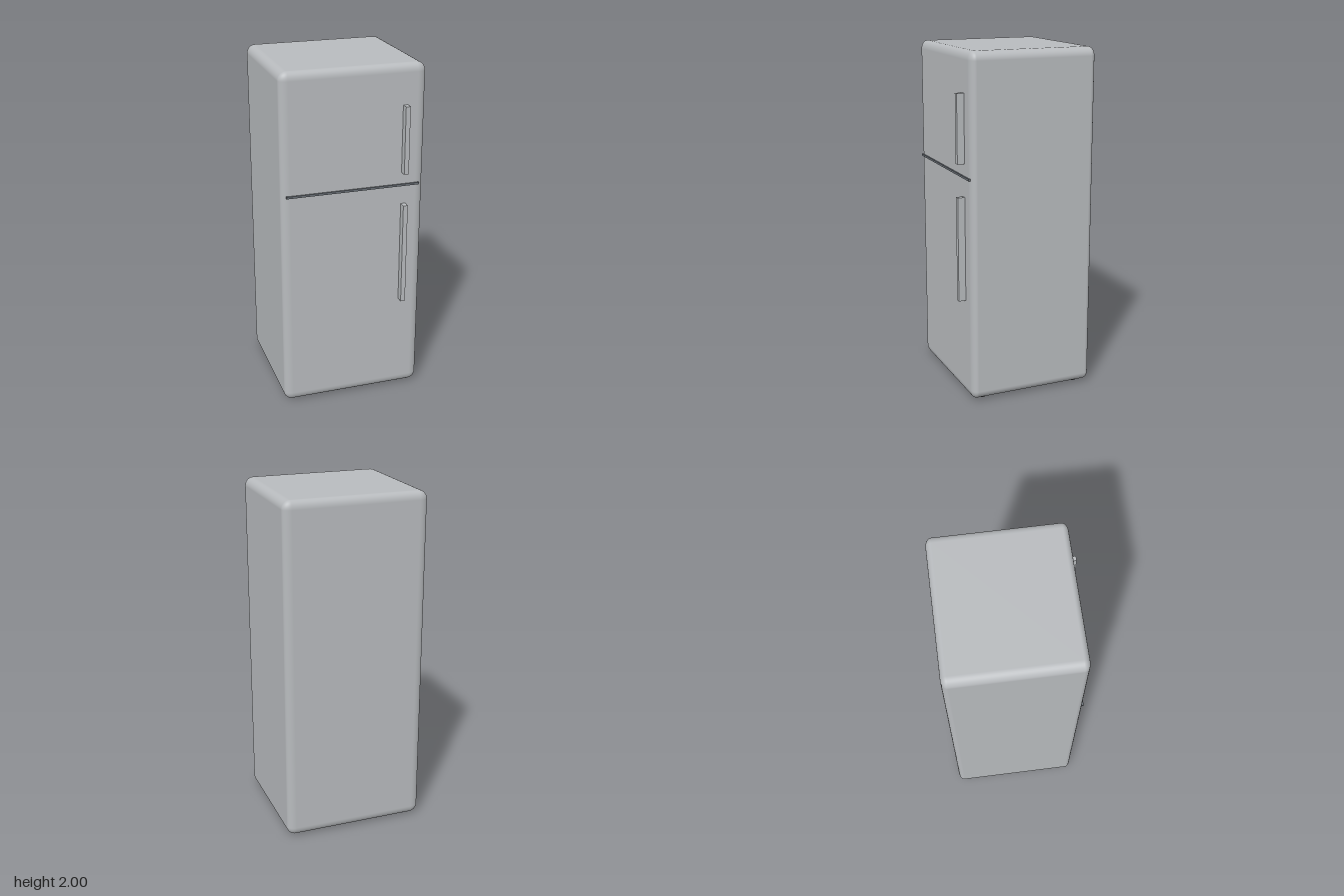
import * as THREE from 'three';
import { RoundedBoxGeometry } from 'three/addons/geometries/RoundedBoxGeometry.js';

const material = (name, color) => {
  const m = new THREE.MeshStandardMaterial({ color });
  m.name = name;
  return m;
};

export function createModel() {
  const silver = material('silver', 0xb8bbbe);
  const seamGrey = material('seamGrey', 0x6a7077);
  const footGrey = material('footGrey', 0x505357);

  const fridge = new THREE.Group();
  fridge.name = 'refrigerator';

  const add = (name, geometry, mat, x, y, z) => {
    const mesh = new THREE.Mesh(geometry, mat);
    mesh.name = name;
    mesh.position.set(x, y, z);
    fridge.add(mesh);
  };

  // Cabinet: rounded box, with tighter rounding along the depth
  const bodyZ = -0.021, depth = 0.752, squash = 0.7;
  const cabinet = new RoundedBoxGeometry(0.834, 1.99, depth / squash, 5, 0.05);
  cabinet.scale(1, 1, squash);
  add('cabinet', cabinet, silver, 0, 1.005, bodyZ);

  // Dark seam between the freezer door and the main door
  add('doorSeam', new THREE.BoxGeometry(0.776, 0.012, 0.016), seamGrey, 0, 1.306, 0.356);

  // Upright bar handles on the model's left side
  const handle = (name, bottom, top) => add(name,
    new THREE.BoxGeometry(0.027, top - bottom, 0.044), silver, 0.297, (bottom + top) / 2, 0.375);
  handle('freezerHandle', 1.38, 1.77);
  handle('mainHandle', 0.588, 1.192);

  // Four low round feet
  for (const x of [-0.34, 0.34]) {
    for (const z of [-0.297, 0.297]) {
      add('foot', new THREE.CylinderGeometry(0.026, 0.026, 0.03, 20), footGrey, x, 0.015, bodyZ + z);
    }
  }
  return fridge;
}
